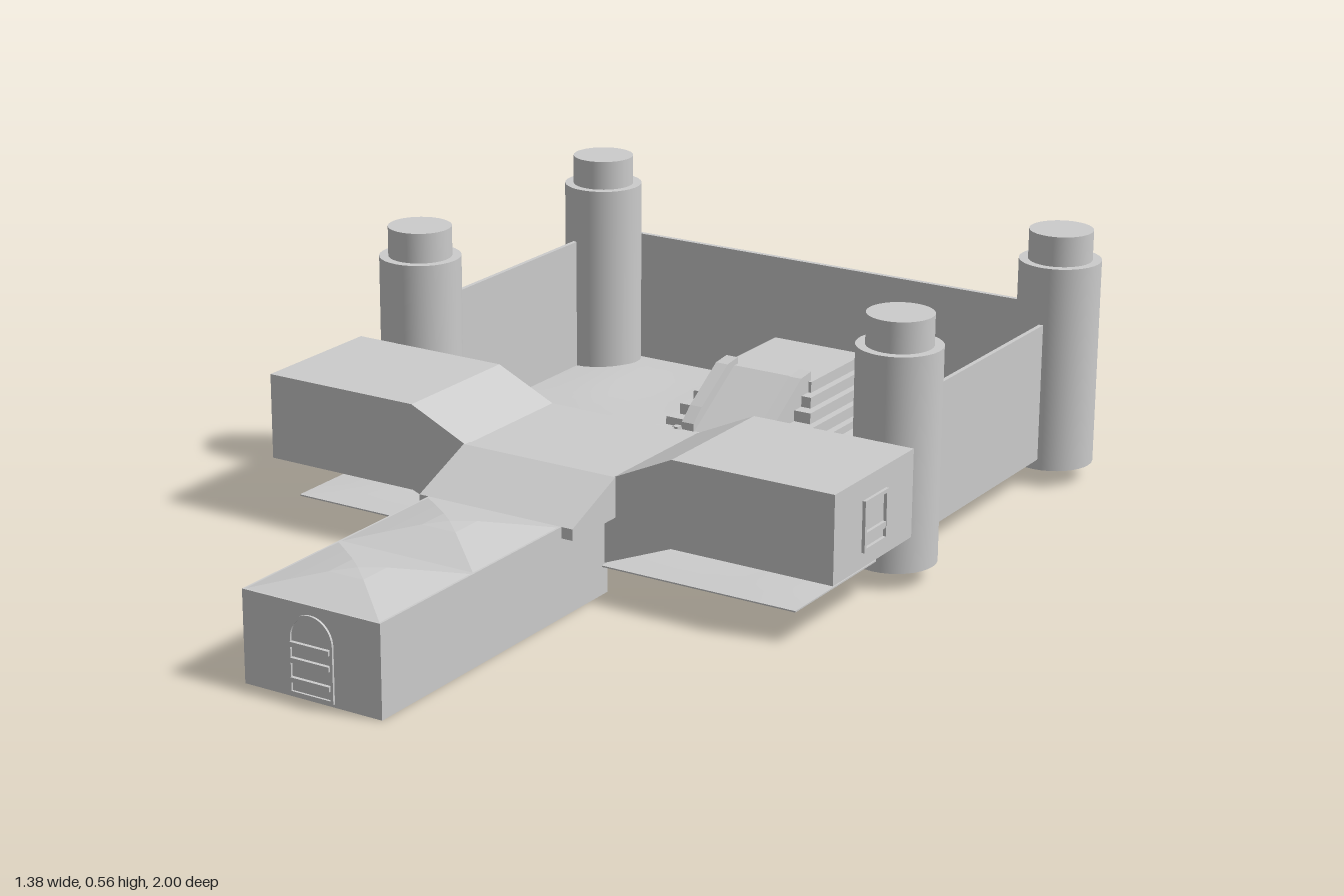
import * as THREE from 'three';

const grey = new THREE.MeshStandardMaterial({ color: 0xcccccc });
const thin = new THREE.MeshStandardMaterial({ color: 0xcccccc, side: THREE.DoubleSide });
const faceted = new THREE.MeshStandardMaterial({ color: 0xcccccc, flatShading: true });

export function createModel() {
  const model = new THREE.Group();
  model.name = 'fortress';

  function add(name, geometry, material = grey) {
    const mesh = new THREE.Mesh(geometry, material);
    mesh.name = name;
    model.add(mesh);
    return mesh;
  }
  // Box given by its limits on each axis
  function box(name, x0, x1, y0, y1, z0, z1) {
    const g = new THREE.BoxGeometry(x1 - x0, y1 - y0, z1 - z0);
    g.translate((x0 + x1) / 2, (y0 + y1) / 2, (z0 + z1) / 2);
    return add(name, g);
  }
  const shapeOf = (points) => new THREE.Shape(points.map(([x, y]) => new THREE.Vector2(x, y)));
  // Side profile of [z, y] points, extruded along x and centred on x = 0
  function sideProfile(name, points, width, x = 0) {
    const g = new THREE.ExtrudeGeometry(shapeOf(points), { depth: width, bevelEnabled: false });
    g.rotateY(-Math.PI / 2);
    g.translate(x + width / 2, 0, 0);
    return add(name, g);
  }

  // Corner towers with narrower caps
  for (const x of [-0.585, 0.6]) {
    for (const z of [-0.907, -0.172]) {
      const tower = add('tower', new THREE.CylinderGeometry(0.09, 0.09, 0.46, 32));
      tower.position.set(x, 0.27, z);
      const cap = add('towerCap', new THREE.CylinderGeometry(0.07, 0.07, 0.067, 32));
      cap.position.set(x, 0.533, z);
    }
  }

  // Courtyard walls
  box('backWall', -0.6, 0.6, 0.065, 0.372, -0.975, -0.963);
  box('rightWall', -0.613, -0.603, 0.065, 0.372, -0.93, -0.14);
  box('leftWall', 0.598, 0.608, 0.065, 0.372, -0.93, -0.14);

  // Gently uneven ground over a flat underside
  const ground = new THREE.PlaneGeometry(1.215, 1.215, 24, 24);
  ground.rotateX(-Math.PI / 2);
  ground.translate(0, 0, -0.362);
  const p = ground.attributes.position;
  for (let i = 0; i < p.count; i++) {
    const x = p.getX(i), z = p.getZ(i);
    const edge = Math.min(1, 6 * (0.6075 - Math.abs(x)), 6 * (0.6075 - Math.abs(z + 0.362)));
    const wave = 0.5 + 0.5 * Math.sin(x * 9 + 1) * Math.cos(z * 8);
    p.setY(i, 0.067 + 0.014 * Math.max(0, edge) * wave);
  }
  ground.computeVertexNormals();
  add('ground', ground, thin);
  box('groundBase', -0.6075, 0.6075, 0.063, 0.066, -0.97, 0.245);
  box('groundPeg', -0.05, 0.05, 0.056, 0.064, -0.55, -0.53);

  // Gatehouse with a stepped-down middle
  const half = [[0.685, 0.132], [0.685, 0.32], [0.316, 0.32], [0.18, 0.257]];
  const mirrored = half.map(([x, y]) => [-x, y]).reverse();
  const gate = new THREE.ExtrudeGeometry(
    shapeOf([[0.16, 0.07], [0.316, 0.132], ...half, ...mirrored, [-0.316, 0.132], [-0.16, 0.07]]),
    { depth: 0.32, bevelEnabled: false });
  gate.translate(0, 0, -0.083);
  add('gatehouse', gate);

  // Framed windows on both ends of the gatehouse
  for (const s of [-1, 1]) {
    const bar = (y0, y1, z0, z1) => box('windowFrame',
      Math.min(s * 0.683, s * 0.692), Math.max(s * 0.683, s * 0.692), y0, y1, z0, z1);
    bar(0.165, 0.173, 0.03, 0.125);
    bar(0.265, 0.273, 0.03, 0.125);
    bar(0.165, 0.273, 0.03, 0.038);
    bar(0.165, 0.273, 0.117, 0.125);
    bar(0.192, 0.206, 0.04, 0.117);
  }
  // Slats on the courtyard side of the gatehouse
  for (let i = 0; i < 4; i++) {
    const y = 0.14 + i * 0.03;
    box('gateSlat', -0.07, 0.07, y, y + 0.008, -0.09, -0.08);
  }

  // Sloped porch between gatehouse and entrance hall
  sideProfile('porch', [[0.22, 0.172], [0.393, 0.172], [0.393, 0.196], [0.237, 0.258], [0.22, 0.258]], 0.37);

  // Entrance hall with two low hipped roofs
  box('entranceHall', -0.163, 0.159, 0.003, 0.196, 0.225, 0.992);
  for (const z of [0.545, 0.843]) {
    const r = Math.SQRT2;
    const roof = new THREE.LatheGeometry(
      [[r, 0], [0.62 * r, 0.013], [0.25 * r, 0.025], [0, 0.029]].map(([x, y]) => new THREE.Vector2(x, y)),
      4, Math.PI / 4);
    roof.scale(0.161, 1, 0.149);
    roof.translate(-0.002, 0.195, z);
    add('hallRoof', roof, new THREE.MeshStandardMaterial({
      color: 0xcccccc, flatShading: true, side: THREE.DoubleSide }));
  }

  // Arched door: outline and horizontal bars
  const arch = new THREE.Shape();
  arch.moveTo(-0.052, 0.01).lineTo(0.052, 0.01).lineTo(0.052, 0.125);
  arch.absarc(0, 0.125, 0.052, 0, Math.PI, false);
  const opening = new THREE.Path();
  opening.moveTo(-0.046, 0.016).lineTo(0.046, 0.016).lineTo(0.046, 0.125);
  opening.absarc(0, 0.125, 0.046, 0, Math.PI, false);
  arch.holes.push(opening);
  const frame = new THREE.ExtrudeGeometry(arch, { depth: 0.007, bevelEnabled: false });
  frame.translate(-0.002, 0, 0.99);
  add('doorFrame', frame);
  for (const y of [0.04, 0.08, 0.112]) box('doorBar', -0.047, 0.043, y - 0.005, y + 0.005, 0.985, 1);

  // Stepped dais at the back of the courtyard
  for (let i = 0; i < 5; i++) {
    const w = 0.185 - i * 0.017;
    box('daisStep', -w, w, 0.066, 0.094 + i * 0.025, -0.918, -0.55 - i * 0.031);
  }

  // Ramp down the front of the dais, with side rails
  sideProfile('ramp', [[-0.7, 0.066], [-0.5, 0.066], [-0.5, 0.092], [-0.67, 0.2], [-0.7, 0.2]], 0.16);
  for (const x of [-0.095, 0.095]) {
    sideProfile('rampRail',
      [[-0.69, 0.066], [-0.495, 0.066], [-0.495, 0.11], [-0.53, 0.14], [-0.64, 0.21], [-0.685, 0.215]], 0.03, x);
  }

  // Walkway to the gate, edged with small blocks
  const rise = (z) => 0.092 + 0.02 * Math.sin((Math.PI * (z + 0.5)) / 0.42);
  const top = [];
  for (let i = 0; i <= 12; i++) top.push([-0.08 - i * 0.035, rise(-0.08 - i * 0.035)]);
  sideProfile('walkway', [[-0.5, 0.066], [-0.08, 0.066], ...top], 0.23);
  for (let i = 0; i < 14; i++) {
    const z = -0.485 + i * 0.03;
    for (const x of [-0.117, 0.117]) {
      box('edgeBlock', x - 0.007, x + 0.007, 0.066, rise(z) + 0.008, z - 0.008, z + 0.008);
    }
  }

  return model;
}
